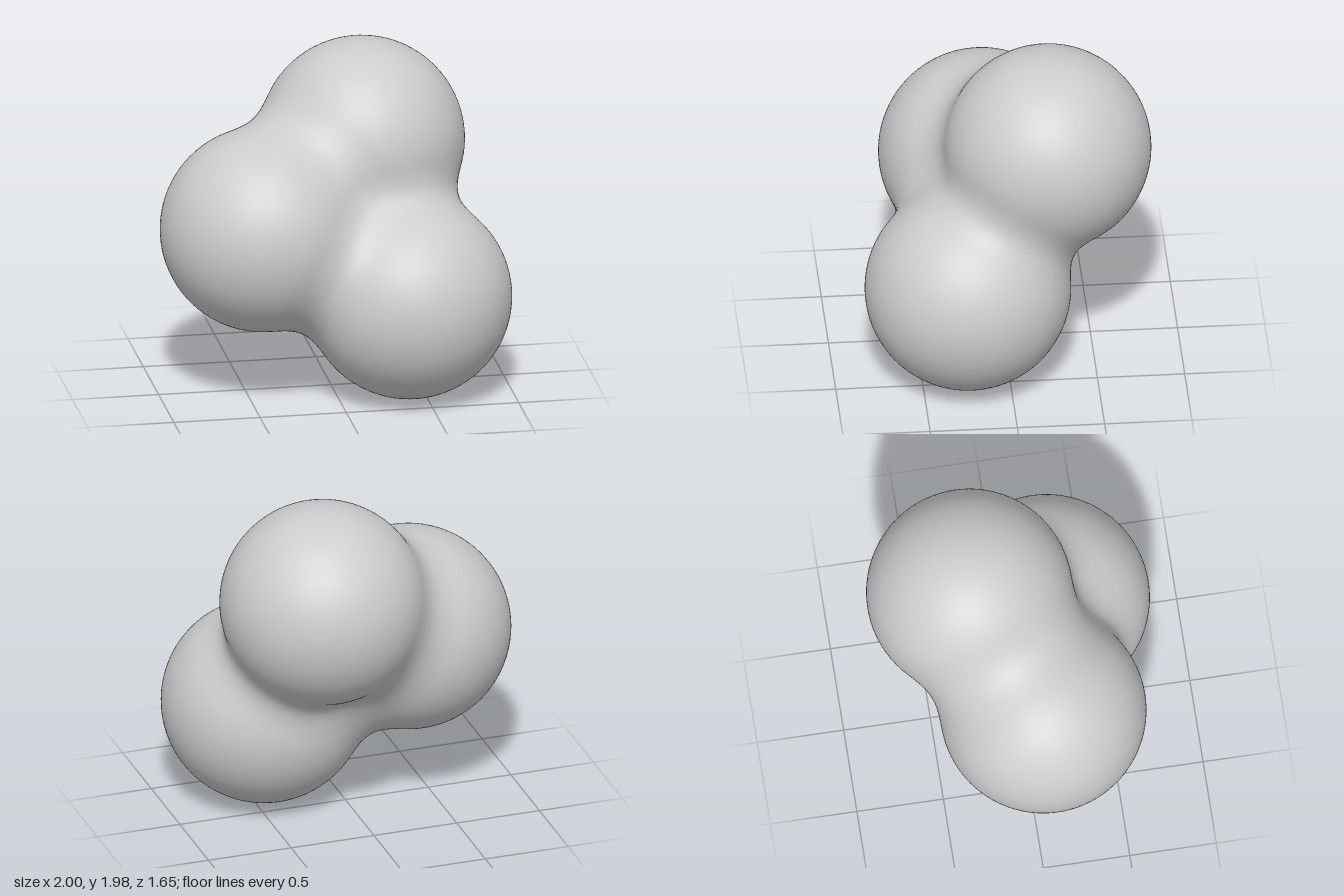
import * as THREE from 'three';
import { mergeVertices } from 'three/addons/utils/BufferGeometryUtils.js';

// Three equal balls melted into one body
const RADIUS = 0.59;
const BLEND = 0.23;
const LEFT_OUT = 1.6; // farthest search distance from the core
const balls = [
  new THREE.Vector3(-0.41, 1.0, 0.09), // side ball
  new THREE.Vector3(0.22, 1.4, -0.24), // upper ball
  new THREE.Vector3(0.41, 0.595, 0.235), // lower ball
];

// Smooth minimum rounds the creases where balls meet
function smoothMin(a, b) {
  const h = Math.max(BLEND - Math.abs(a - b), 0) / BLEND;
  return Math.min(a, b) - h * h * BLEND * 0.25;
}

function distance(p) {
  return balls.map((c) => p.distanceTo(c) - RADIUS).reduce(smoothMin);
}

function blendedBody() {
  // The core lies inside every ball, so each ray leaves the body once
  const core = new THREE.Vector3();
  balls.forEach((c) => core.addScaledVector(c, 1 / balls.length));

  let geometry = new THREE.IcosahedronGeometry(1, 28);
  geometry.deleteAttribute('uv');
  geometry.deleteAttribute('normal');
  geometry = mergeVertices(geometry, 1e-4);

  const pos = geometry.attributes.position;
  const dir = new THREE.Vector3();
  const p = new THREE.Vector3();
  for (let i = 0; i < pos.count; i++) {
    dir.fromBufferAttribute(pos, i).normalize();
    let near = 0;
    let far = LEFT_OUT;
    for (let step = 0; step < 26; step++) {
      const mid = (near + far) / 2;
      p.copy(core).addScaledVector(dir, mid);
      if (distance(p) < 0) near = mid;
      else far = mid;
    }
    p.copy(core).addScaledVector(dir, near);
    pos.setXYZ(i, p.x, p.y, p.z);
  }
  geometry.computeVertexNormals();
  return geometry;
}

export function createModel() {
  const group = new THREE.Group();
  group.name = 'mergedBalls';
  const material = new THREE.MeshStandardMaterial({ color: 0xcccccc });
  const body = new THREE.Mesh(blendedBody(), material);
  body.name = 'blendedBody';
  group.add(body);
  return group;
}
